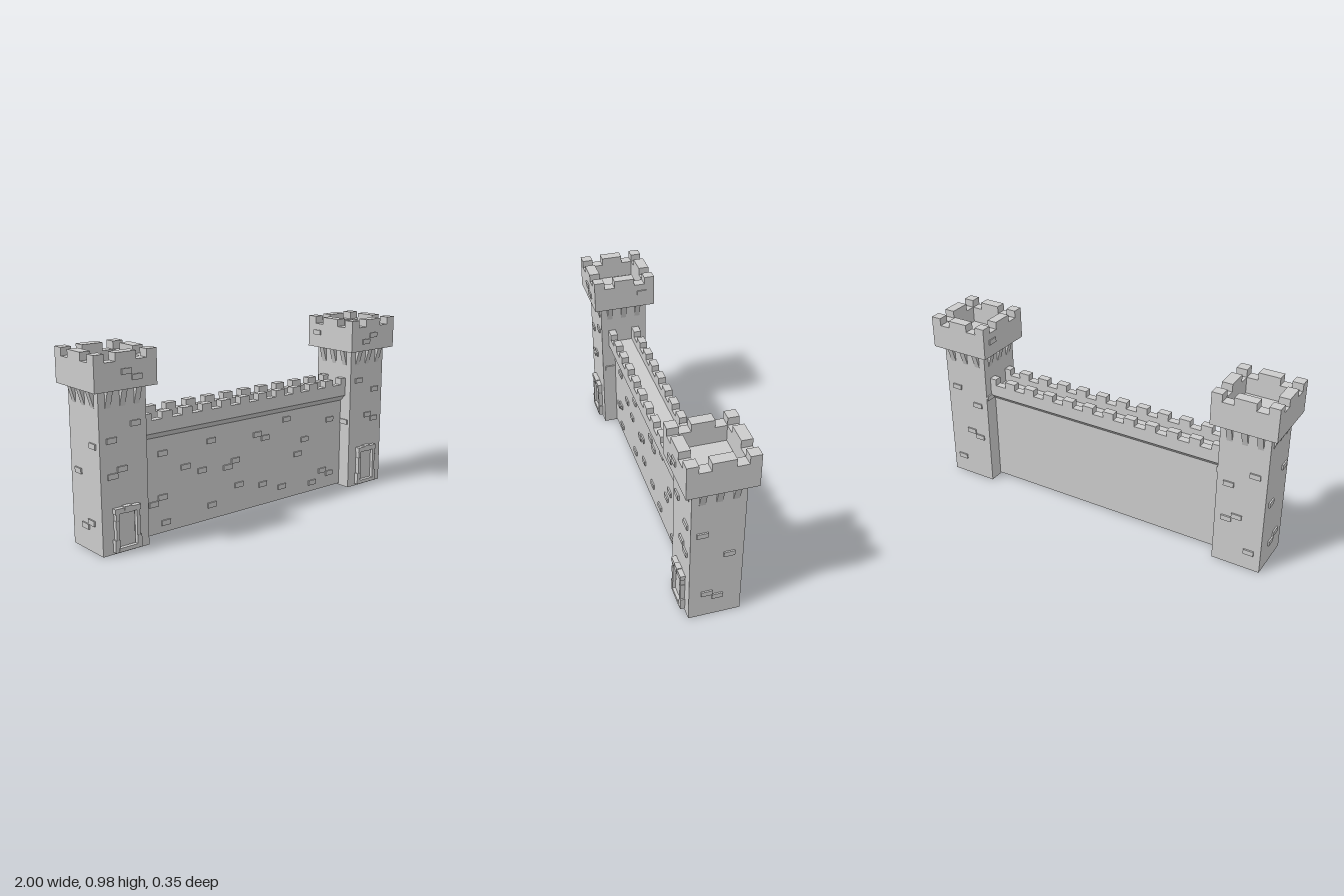
import * as THREE from 'three';

const stone = new THREE.MeshStandardMaterial({ color: 0xcccccc, flatShading: true });

// Box given by its size and centre
function box(parent, name, w, h, d, x, y, z) {
  const mesh = new THREE.Mesh(new THREE.BoxGeometry(w, h, d), stone);
  mesh.position.set(x, y, z);
  mesh.name = name;
  parent.add(mesh);
  return mesh;
}

// Raised bricks on a +z facing surface at depth z, listed as [x, y]
function bricks(parent, list, z) {
  for (const [x, y] of list) box(parent, 'brick', 0.055, 0.027, 0.016, x, y, z);
}

// Profile points extruded over a centred width
function extrude(points, width) {
  const shape = new THREE.Shape(points.map(([x, y]) => new THREE.Vector2(x, y)));
  const geo = new THREE.ExtrudeGeometry(shape, { depth: width, bevelEnabled: false });
  return geo.translate(0, 0, -width / 2);
}

// Stone door surround with recessed panel, on the tower front
function createDoor() {
  const door = new THREE.Group();
  door.name = 'door';
  box(door, 'doorPanel', 0.09, 0.165, 0.012, 0, 0.117, 0.134);
  box(door, 'doorBacking', 0.104, 0.19, 0.006, 0, 0.117, 0.131);
  box(door, 'doorSill', 0.11, 0.02, 0.026, 0, 0.022, 0.142);
  const jamb = [[0.012, 0.075, 0.075], [0.075, 0.13, 0.067], [0.13, 0.17, 0.07], [0.17, 0.213, 0.067]];
  for (const s of [-1, 1]) {
    jamb.forEach(([y0, y1, out], i) => {
      const w = out - 0.05;
      box(door, 'jambStone', w, y1 - y0, 0.026 - 0.002 * (i % 2), s * (0.05 + w / 2), (y0 + y1) / 2, 0.141);
    });
    box(door, 'lintelStone', 0.052, 0.026, 0.028, s * 0.046, 0.217, 0.142);
  }
  box(door, 'keystone', 0.042, 0.032, 0.03, 0, 0.219, 0.143);
  return door;
}

// Hollow battlemented top with merlons at corners and mid-sides
function createHead() {
  const head = new THREE.Group();
  head.name = 'towerHead';
  const R = 0.171, T = 0.056;
  box(head, 'headFloor', 2 * R, 0.05, 2 * R, 0, 0.825, 0);
  for (let i = 0; i < 4; i++) {
    const side = new THREE.Group();
    side.name = 'parapetSide';
    side.rotation.y = i * Math.PI / 2;
    box(side, 'parapet', 2 * R - T, 0.085, T, -T / 2, 0.8925, R - T / 2);
    box(side, 'cornerMerlon', T, 0.04, T, -R + T / 2, 0.955, R - T / 2);
    box(side, 'middleMerlon', 0.113, 0.04, T, 0, 0.955, R - T / 2);
    head.add(side);
  }
  return head;
}

// s = 1 for the +x tower, -1 for the mirrored one
function createTower(s) {
  const tower = new THREE.Group();
  tower.name = s > 0 ? 'leftTower' : 'rightTower';
  tower.position.set(s * 0.829, 0, -0.002);
  const S = 0.131;
  box(tower, 'shaft', 2 * S, 0.8, 2 * S, 0, 0.4, 0);
  tower.add(createHead(), createDoor());

  // Wedge corbels, three on each side
  const wedge = extrude([[S - 0.002, 0.715], [S, 0.715], [0.157, 0.8], [S - 0.002, 0.8]], 0.03);
  for (let i = 0; i < 4; i++) {
    const row = new THREE.Group();
    row.name = 'corbelRow';
    row.rotation.y = i * Math.PI / 2;
    for (const z of [-0.08, 0, 0.08]) {
      const corbel = new THREE.Mesh(wedge, stone);
      corbel.name = 'corbel';
      corbel.position.z = z;
      row.add(corbel);
    }
    tower.add(row);
  }

  // Bricks per face; each face group turns +z to the wanted direction
  const face = (name, angle, list, depth) => {
    const g = new THREE.Group();
    g.name = name;
    g.rotation.y = angle;
    bricks(g, list, depth);
    tower.add(g);
  };
  const q = s * Math.PI / 2;
  const m = (list) => list.map(([x, y]) => [s * x, y]);
  face('frontBricks', 0, m([[0.067, 0.56], [-0.067, 0.625], [0.012, 0.415], [0.067, 0.387]]), S);
  face('headFrontBricks', 0, m([[0, 0.885], [-0.057, 0.853]]), 0.17);
  face('outerBricks', q, m([[-0.075, 0.533], [0.06, 0.387], [-0.043, 0.15], [0.011, 0.122]]), S);
  face('backBricks', Math.PI, m([[-0.067, 0.56], [0.067, 0.475], [0.012, 0.297], [0.067, 0.27], [-0.067, 0.105]]), S);
  face('innerBricks', -q, m([[0.09, 0.387], [-0.1, 0.533]]), S);
  face('headInnerBrick', -q, m([[-0.1, 0.885]]), 0.17);
  return tower;
}

function createWall() {
  const wall = new THREE.Group();
  wall.name = 'curtainWall';
  // Cross-section with sloped ledges and a walkway between parapets
  const half = [[0.055, 0.008], [0.055, 0.507], [0.089, 0.54], [0.089, 0.607], [0.048, 0.607], [0.048, 0.565]];
  const profile = [...half, ...half.map(([x, y]) => [-x, y]).reverse()];
  const body = new THREE.Mesh(extrude(profile, 1.42).rotateY(Math.PI / 2), stone);
  body.name = 'wallBody';
  wall.add(body);

  // Merlons along both parapets, cut off where they meet the towers
  for (let k = 0; k < 12; k++) {
    const c = -0.672 + 0.124 * k;
    const x0 = Math.max(c - 0.031, -0.7), x1 = Math.min(c + 0.031, 0.7);
    for (const s of [-1, 1]) box(wall, 'merlon', x1 - x0, 0.035, 0.041, (x0 + x1) / 2, 0.6245, s * 0.0685);
  }

  bricks(wall, [
    [-0.56, 0.422], [-0.253, 0.433], [-0.419, 0.326], [-0.312, 0.286], [-0.09, 0.297], [-0.144, 0.27],
    [-0.563, 0.195], [-0.617, 0.168], [-0.545, 0.059], [-0.251, 0.086], [-0.066, 0.158], [0.102, 0.126],
    [0.243, 0.083], [0.061, 0.412], [0.117, 0.385], [0.272, 0.463], [0.411, 0.326], [0.36, 0.249],
    [0.606, 0.409], [0.555, 0.115], [0.611, 0.09], [0.475, 0.059],
  ], 0.055);
  return wall;
}

export function createModel() {
  const model = new THREE.Group();
  model.name = 'castleWall';
  model.add(createWall(), createTower(1), createTower(-1));
  return model;
}
